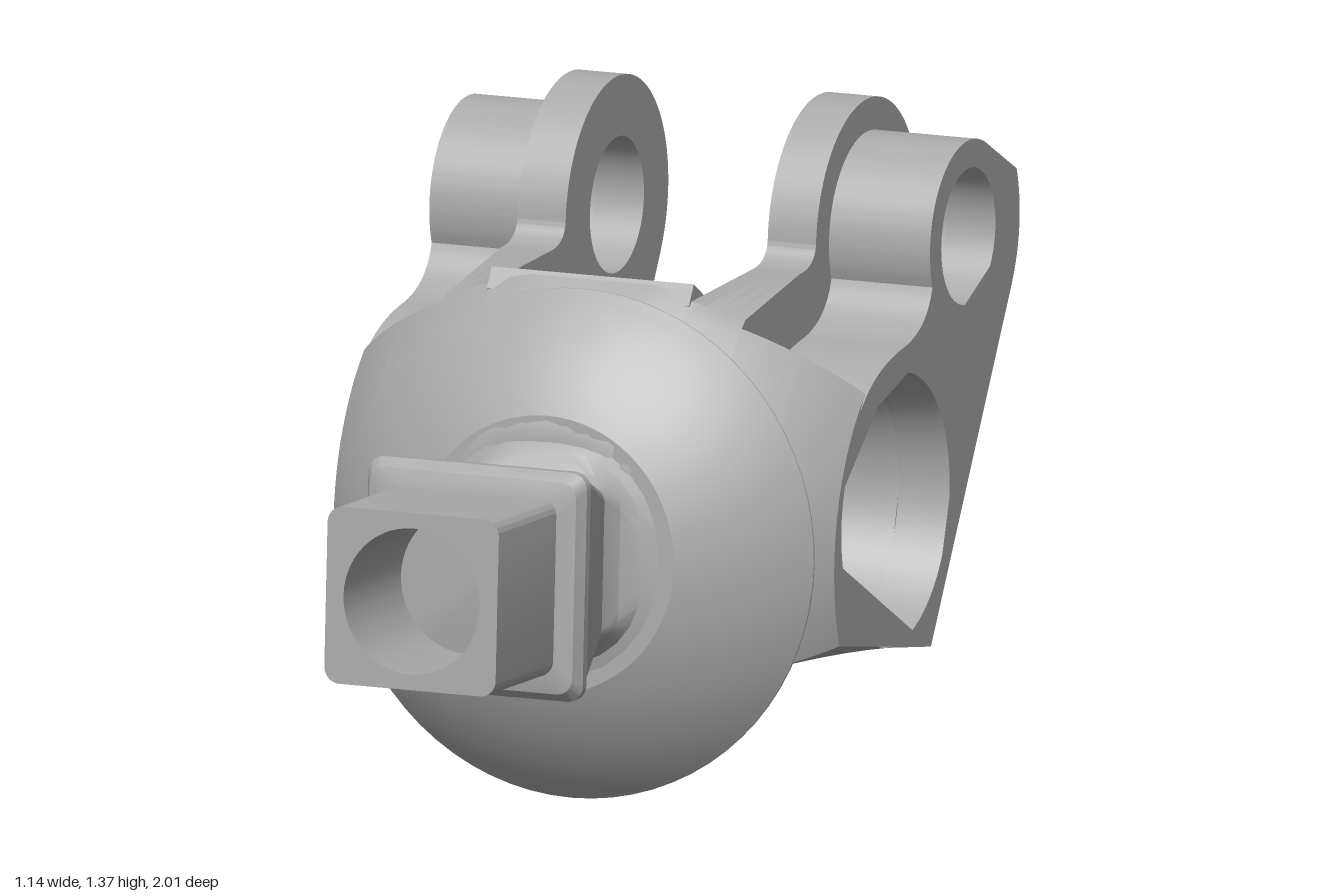
import * as THREE from 'three';
import { toCreasedNormals } from 'three/addons/utils/BufferGeometryUtils.js';

const metal = new THREE.MeshStandardMaterial({ color: 0xaaaaaa });
metal.name = 'cast grey';

// dome sphere (centre y, z and radius), its axis tilt, and the main bore centre
const CY = 0.49, CZ = -0.386, R = 0.738, TILT = 0.057;
const BORE = { z: -0.25, y: 0.565, r: 0.21 };
const SLOPE = Math.atan2(-0.85, -0.53);

function add(parent, name, geo, crease = 0.6) {
  const mesh = new THREE.Mesh(toCreasedNormals(geo, crease), metal);
  mesh.name = name;
  parent.add(mesh);
  return mesh;
}

function hole(shape, x, y, r) {
  const p = new THREE.Path();
  p.absarc(x, y, r, 0, Math.PI * 2, true);
  shape.holes.push(p);
}

const extrude = (shape, depth, steps = 1) =>
  new THREE.ExtrudeGeometry(shape, { depth, steps, bevelEnabled: false, curveSegments: 28 });

// side profiles are drawn in (-z, y) and extruded along x
function frontEdge(s) {
  s.lineTo(-0.09, 1.03);
  for (let i = 1; i <= 6; i++) s.lineTo(-0.09 - 0.19 * i / 6, 1.03 - 0.21 * i / 6);
  for (let i = 1; i <= 12; i++) s.lineTo(-0.28, 0.82 - 0.57 * i / 12);
  s.lineTo(0.44, 0.235);
  hole(s, -BORE.z, BORE.y, BORE.r);
  return s;
}

function coreProfile() {
  const s = new THREE.Shape();
  s.moveTo(0.44, 0.235);
  s.lineTo(0.6635, 0.5875);
  s.lineTo(-0.0565, 1.0335);
  s.lineTo(-0.035, 1.068);
  return frontEdge(s);
}

function earProfile(outer, notched) {
  const s = new THREE.Shape();
  s.moveTo(0.44, 0.235);
  if (notched) {
    const at = (t, d) => s.lineTo(0.874 - 0.53 * t - 0.85 * d, 0.929 - 0.85 * t + 0.53 * d);
    at(0.38, 0); at(0.36, 0.1); at(0.1, 0.1); at(0.08, 0);
  }
  s.lineTo(0.874, 0.929);
  if (outer) {
    s.absarc(0.64, 1.075, 0.275, -0.558, 0.35, false);
    s.absarc(0.64, 1.075, 0.205, 1.1, 3.5, false);
    s.quadraticCurveTo(0.42, 0.92, 0.3, 0.905);
    s.quadraticCurveTo(0.14, 0.89, 0.06, 0.81);
    s.quadraticCurveTo(0.03, 0.77, 0, 0.77);
    s.quadraticCurveTo(-0.06, 0.77, -0.065, 0.86);
    s.lineTo(-0.065, 1.03);
  } else {
    s.absarc(0.64, 1.075, 0.275, -0.558, 3.05, false);
    s.quadraticCurveTo(0.365, 1.045, 0.28, 1.046);
    s.lineTo(-0.06, 1.065);
  }
  hole(s, 0.64, 1.075, 0.145);
  return frontEdge(s);
}

// slice of the body between two x positions: bore flares outward, front follows the dome
function slice(shape, x0, x1, steps) {
  const geo = extrude(shape, x1 - x0, steps).rotateY(Math.PI / 2).translate(x0, 0, 0);
  const p = geo.attributes.position;
  for (let i = 0; i < p.count; i++) {
    const x = p.getX(i), y = p.getY(i), z = p.getZ(i);
    const by = y - BORE.y, bz = z - BORE.z;
    if (Math.hypot(by, bz) < BORE.r + 0.005) {
      const k = 1 + 0.38 * Math.abs(x) / 0.57;
      p.setXYZ(i, x, BORE.y + by * k, BORE.z + bz * k);
    } else if (z > -0.3) {
      const r = Math.sqrt((R - 0.003) ** 2 - x * x);
      const k = Math.min(1, r / Math.hypot(y - CY, z - CZ));
      p.setXYZ(i, x, CY + (y - CY) * k, CZ + (z - CZ) * k);
    }
  }
  return geo;
}

function roundedRect(w, h, r) {
  const s = new THREE.Shape();
  [[w - r, h - r], [r - w, h - r], [r - w, r - h], [w - r, r - h]].forEach(([x, y], i) =>
    s.absarc(x, y, r, i * Math.PI / 2, (i + 1) * Math.PI / 2, false));
  return s;
}

// loft of rounded squares given as [axial position, half width, half height, corner radius]
function loft(sections) {
  const n = 28, pos = [], idx = [];
  for (const [a, w, h, r] of sections) {
    for (let j = 0; j < n; j++) {
      const q = Math.floor(j / 7), t = (q + (j % 7) / 6) * Math.PI / 2;
      const sx = q === 0 || q === 3 ? 1 : -1, sy = q < 2 ? 1 : -1;
      pos.push(sx * (w - r) + r * Math.cos(t), sy * (h - r) + r * Math.sin(t), a);
    }
  }
  for (let i = 0; i < sections.length - 1; i++) {
    for (let j = 0; j < n; j++) {
      const a = i * n + j, b = i * n + (j + 1) % n;
      idx.push(a, b, b + n, a, b + n, a + n);
    }
  }
  const last = (sections.length - 1) * n;
  for (let j = 1; j < n - 1; j++) idx.push(last, last + j, last + j + 1);
  const geo = new THREE.BufferGeometry();
  geo.setAttribute('position', new THREE.Float32BufferAttribute(pos, 3));
  geo.setIndex(idx);
  return geo;
}

export function createModel() {
  const model = new THREE.Group();
  model.name = 'clevisJoint';

  // body core and the paired ears
  add(model, 'bodyCore', slice(coreProfile(), -0.23, 0.23, 10));
  const strips = [
    ['innerEar', earProfile(false, false), 0.23, 0.34, 4],
    ['pocketedEar', earProfile(true, true), 0.34, 0.46, 6],
    ['outerEar', earProfile(true, false), 0.46, 0.57, 6],
  ];
  for (const [name, shape, a, b, steps] of strips) {
    add(model, name + 'Left', slice(shape, a, b, steps));
    add(model, name + 'Right', slice(shape, -b, -a, steps));
  }

  // sloping floor between the ears, with a counterbored hole
  const floor = new THREE.Group();
  floor.name = 'slopingFloor';
  floor.position.set(0, 1.076, 0.03);
  floor.rotation.x = SLOPE;
  for (const [name, r, z, d] of [['counterboreLayer', 0.11, -0.02, 0.02], ['holeLayer', 0.07, -0.05, 0.03]]) {
    const s = new THREE.Shape();
    s.moveTo(-0.23, 0);
    s.lineTo(0.23, 0);
    s.lineTo(0.23, 0.847);
    s.lineTo(-0.23, 0.847);
    hole(s, 0, 0.12, r);
    add(floor, name, extrude(s, d).translate(0, 0, z));
  }
  model.add(floor);

  // threaded boss at the back, its underside cut level
  const boss = new THREE.Group();
  boss.name = 'threadedBoss';
  boss.position.set(0, 0.418, -0.855);
  boss.rotation.x = SLOPE;
  const b = new THREE.Shape();
  b.absarc(0, 0, 0.17, -1.08, Math.PI + 1.08, false);
  b.quadraticCurveTo(-0.08, -0.24, -0.18, -0.25);
  b.lineTo(-0.18, -0.29);
  b.lineTo(0.18, -0.29);
  b.lineTo(0.18, -0.25);
  b.quadraticCurveTo(0.08, -0.24, 0.08, -0.15);
  hole(b, 0, 0, 0.115);
  const bossGeo = extrude(b, 1).translate(0, 0, -1);
  const bp = bossGeo.attributes.position;
  for (let i = 0; i < bp.count; i++) {
    if (bp.getZ(i) < -0.5) bp.setZ(i, (0.2 - 0.418 + 0.53 * bp.getY(i)) / 0.85);
  }
  add(boss, 'bossBody', bossGeo);
  for (let i = 0; i < 5; i++) {
    add(boss, 'thread', new THREE.TorusGeometry(0.113, 0.014, 6, 32).translate(0, 0, -0.03 - i * 0.035), 1.2);
  }
  model.add(boss);

  // dome and arm share one slightly raised axis
  const front = new THREE.Group();
  front.name = 'domeAndArm';
  front.position.set(0, CY, CZ);
  front.rotation.x = -TILT;
  const dome = [[0, 0.48], [0.515, 0.48], [0.534, 0.485], [0.54, 0.497]];
  for (let i = 0; i <= 14; i++) {
    const r = 0.54 - 0.245 * i / 14;
    dome.push([r, Math.sqrt(R * R - r * r)]);
  }
  dome.push([0, 0.677]);
  add(front, 'dome', new THREE.LatheGeometry(dome.map(([r, a]) => new THREE.Vector2(r, a)), 72)
    .rotateX(Math.PI / 2), 0.35);
  add(front, 'armCollar', loft([
    [0.674, 0.27, 0.27, 0.26], [0.684, 0.225, 0.225, 0.18], [0.71, 0.185, 0.185, 0.08],
    [0.75, 0.165, 0.165, 0.03], [1.0, 0.235, 0.232, 0.03], [1.025, 0.249, 0.243, 0.035],
    [1.045, 0.249, 0.243, 0.035], [1.07, 0.235, 0.225, 0.035], [1.08, 0.2, 0.192, 0.035],
  ]), 0.5);
  const end = roundedRect(0.195, 0.188, 0.035);
  hole(end, 0, 0, 0.155);
  add(front, 'squareSocket', extrude(end, 0.312).translate(0, 0, 1.076));
  model.add(front);

  return model;
}
